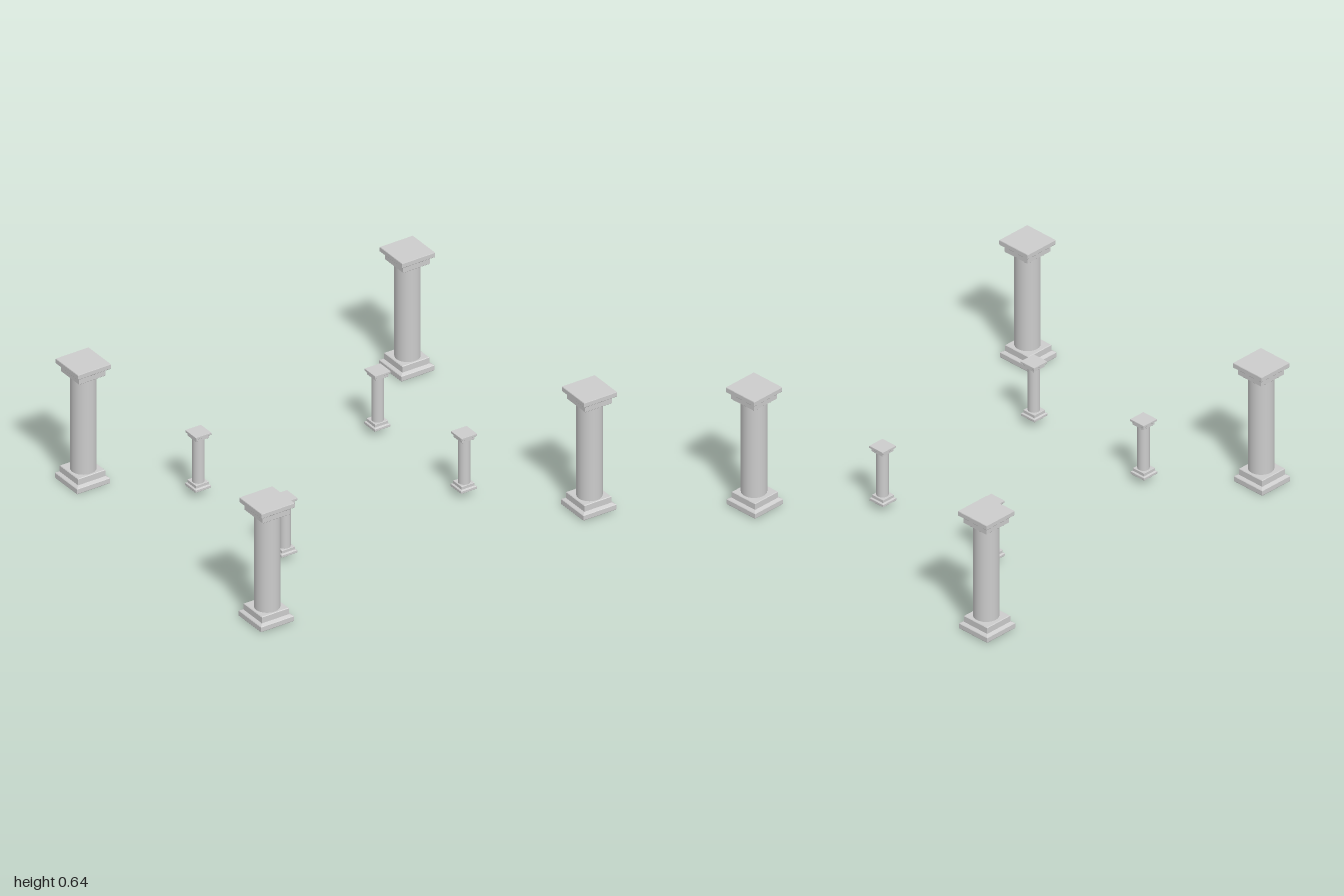
import * as THREE from 'three';

const material = new THREE.MeshStandardMaterial({ color: 0xcccccc });
const HEIGHT = 0.645;

// Square stepped block from a [halfWidth, y] profile, listed bottom to top
function squareBlock(profile) {
  const points = profile.map(([half, y]) => new THREE.Vector2(half * Math.SQRT2, y));
  const geometry = new THREE.LatheGeometry(points, 4, Math.PI / 4).toNonIndexed();
  geometry.computeVertexNormals();
  return geometry;
}

const baseGeometry = squareBlock([
  [0, 0], [0.091, 0], [0.0925, 0.003], [0.0925, 0.026], [0.09, 0.029], // bottom slab
  [0.076, 0.036], [0.076, 0.067], [0.073, 0.07], [0, 0.07],            // plinth
]);

const capitalGeometry = squareBlock([
  [0, 0.578], [0.072, 0.578], [0.075, 0.581], [0.075, 0.611], [0.073, 0.614], // neck block
  [0.073, 0.618], [0.09, 0.618], [0.0925, 0.621], [0.0925, 0.642], [0.091, HEIGHT], [0, HEIGHT], // top slab
]);

const shaftGeometry = new THREE.CylinderGeometry(0.0615, 0.0615, 0.52, 32);
shaftGeometry.translate(0, 0.325, 0);

function createColumn(name, x, y, z, scale) {
  const column = new THREE.Group();
  column.name = name;
  const parts = [['base', baseGeometry], ['shaft', shaftGeometry], ['capital', capitalGeometry]];
  for (const [partName, geometry] of parts) {
    const mesh = new THREE.Mesh(geometry, material);
    mesh.name = partName;
    // The base sits slightly behind the shaft axis
    if (partName === 'base') mesh.position.z = -0.006;
    column.add(mesh);
  }
  column.position.set(x, y, z);
  column.scale.set(scale, (HEIGHT - y) / HEIGHT * scale, scale);
  return column;
}

export function createModel() {
  const group = new THREE.Group();
  group.name = 'columns';

  // Four tall corner columns
  const tall = [
    ['tallColumnBackLeft', 0.905, 0.006, -0.759],
    ['tallColumnBackRight', -0.9075, 0, -0.759],
    ['tallColumnFrontLeft', 0.895, 0.008, 0.763],
    ['tallColumnFrontRight', -0.9075, 0.005, 0.763],
  ];
  for (const [name, x, y, z] of tall) group.add(createColumn(name, x, y, z, 1));

  // Four short inner columns, same design at a smaller scale
  const short = [
    ['shortColumnBackLeft', 0.473, 0.034, -0.366],
    ['shortColumnBackRight', -0.528, 0.036, -0.368],
    ['shortColumnFrontLeft', 0.487, 0.036, 0.329],
    ['shortColumnFrontRight', -0.529, 0.038, 0.347],
  ];
  for (const [name, x, y, z] of short) {
    const column = createColumn(name, x, y, z, 0.472);
    column.scale.y = (0.334 - y) / HEIGHT;
    group.add(column);
  }
  return group;
}
